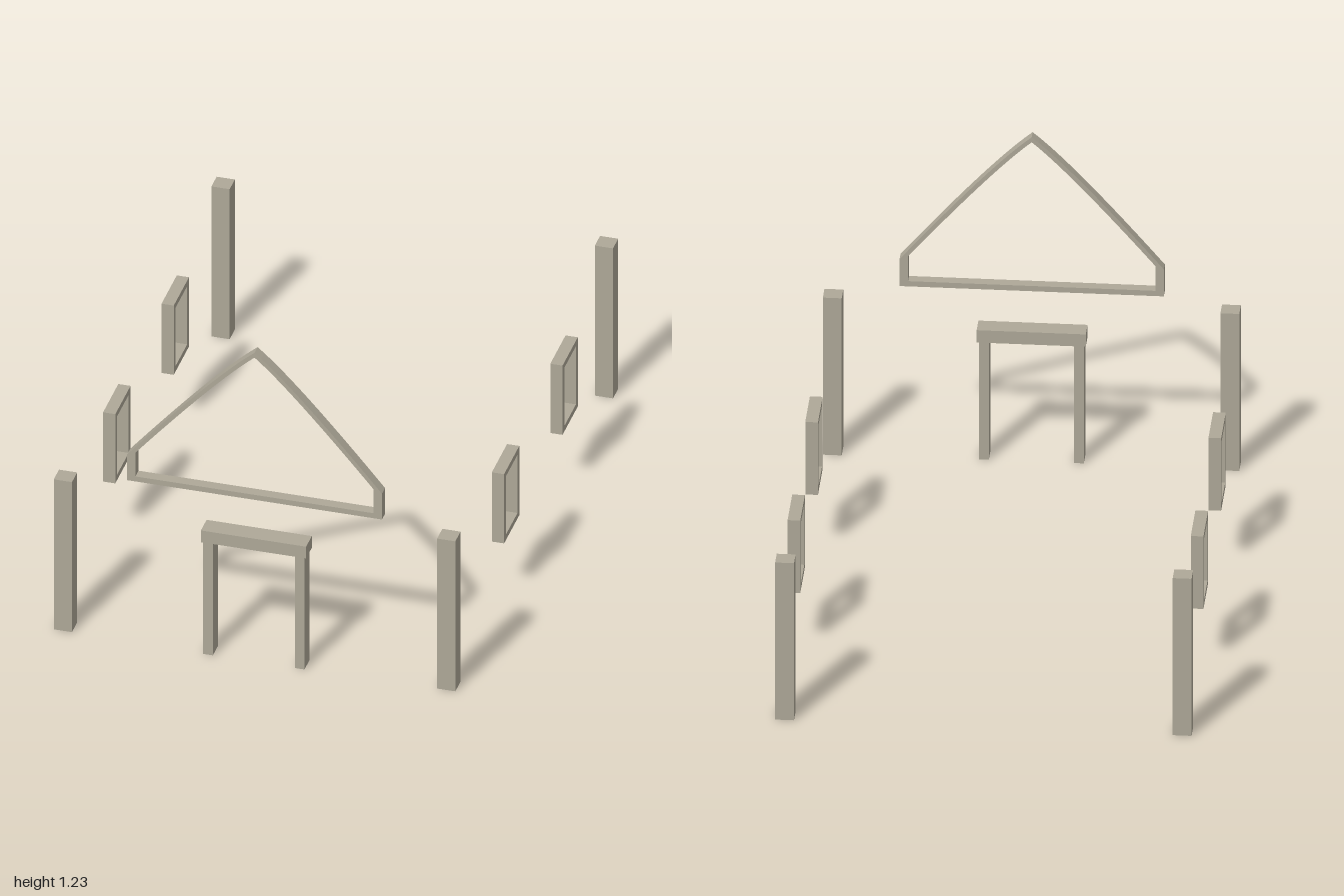
import * as THREE from 'three';

const stone = new THREE.MeshStandardMaterial({ color: 0xaea898 });
stone.name = 'warm grey stone';

// Box given by its minimum and maximum on each axis
function block(name, x0, x1, y0, y1, z0, z1) {
  const mesh = new THREE.Mesh(new THREE.BoxGeometry(x1 - x0, y1 - y0, z1 - z0), stone);
  mesh.position.set((x0 + x1) / 2, (y0 + y1) / 2, (z0 + z1) / 2);
  mesh.name = name;
  return mesh;
}

// Outline of the gable: short upright sides and two bowed slopes
function gableOutline(path, halfWidth, base, eaves, apex, cx, cy) {
  path.moveTo(-halfWidth, base);
  path.lineTo(halfWidth, base);
  path.lineTo(halfWidth, eaves);
  path.quadraticCurveTo(cx, cy, 0, apex);
  path.quadraticCurveTo(-cx, cy, -halfWidth, eaves);
  path.closePath();
  return path;
}

function rectangle(path, x0, x1, y0, y1) {
  path.moveTo(x0, y0);
  path.lineTo(x1, y0);
  path.lineTo(x1, y1);
  path.lineTo(x0, y1);
  path.closePath();
  return path;
}

// Hollow frame extruded along z
function frame(name, outer, inner, depth) {
  outer.holes.push(inner);
  const geometry = new THREE.ExtrudeGeometry(outer, { depth, bevelEnabled: false, curveSegments: 12 });
  const mesh = new THREE.Mesh(geometry, stone);
  mesh.name = name;
  return mesh;
}

export function createModel() {
  const model = new THREE.Group();
  model.name = 'houseTrim';

  // Corner posts, window frames and door jambs on both sides
  for (const [side, s] of [['left', 1], ['right', -1]]) {
    const span = (a, b) => (s > 0 ? [a, b] : [-b, -a]);

    model.add(block(`${side}FrontPost`, ...span(0.642, 0.706), 0, 0.6, 0.923, 0.987));
    model.add(block(`${side}BackPost`, ...span(0.642, 0.706), 0, 0.6, -1, -0.936));
    model.add(block(`${side}DoorJamb`, ...span(0.144, 0.178), 0, 0.448, 0.934, 0.996));

    for (const [place, z] of [['Front', 0.296], ['Back', -0.417]]) {
      const win = frame(
        `${side}${place}WindowFrame`,
        rectangle(new THREE.Shape(), -0.093, 0.093, 0.227, 0.504),
        rectangle(new THREE.Path(), -0.071, 0.071, 0.249, 0.482),
        0.043
      );
      win.rotation.y = Math.PI / 2;
      win.position.set(span(0.662, 0.705)[0], 0, z);
      model.add(win);
    }
  }

  // Door lintel
  model.add(block('doorLintel', -0.185, 0.185, 0.448, 0.495, 0.93, 1));

  // Gable frame
  const gable = frame(
    'gableFrame',
    gableOutline(new THREE.Shape(), 0.448, 0.642, 0.745, 1.23, 0.132, 1.124),
    gableOutline(new THREE.Path(), 0.419, 0.662, 0.757, 1.211, 0.126, 1.105),
    0.038
  );
  gable.position.z = 0.949;
  model.add(gable);

  return model;
}
